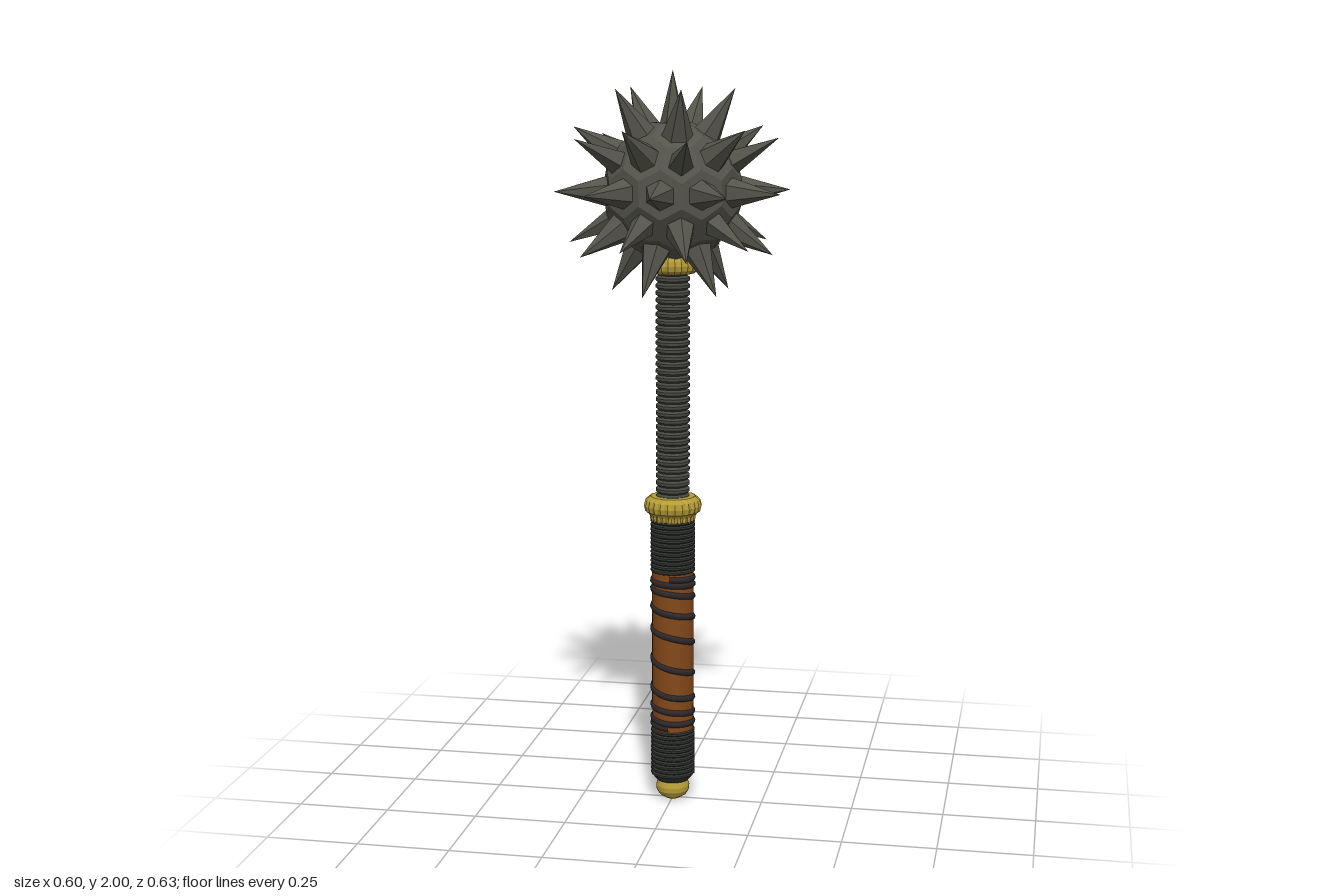
import * as THREE from 'three';
import { mergeGeometries } from 'three/addons/utils/BufferGeometryUtils.js';
import { ConvexGeometry } from 'three/addons/geometries/ConvexGeometry.js';

const material = (name, color) => {
  const m = new THREE.MeshStandardMaterial({ color });
  m.name = name;
  return m;
};

// Turned part from [radius, y] pairs; odd columns can be pulled in to cut flutes
function turned(points, segments, flute = 0) {
  const geo = new THREE.LatheGeometry(points.map(p => new THREE.Vector2(...p)), segments);
  const pos = geo.attributes.position;
  for (let i = 0; i < pos.count; i++) {
    if (Math.floor(i / points.length) % 2) {
      pos.setX(i, pos.getX(i) * (1 - flute));
      pos.setZ(i, pos.getZ(i) * (1 - flute));
    }
  }
  const flat = geo.toNonIndexed();
  flat.computeVertexNormals();
  return flat;
}

// Zigzag profile of stacked ridges between two heights
function ridges(y0, y1, count, inner, outer) {
  const pts = [[inner, y0]];
  const step = (y1 - y0) / count;
  for (let i = 0; i < count; i++) {
    const y = y0 + i * step;
    pts.push([outer, y + step * 0.3], [outer, y + step * 0.7], [inner, y + step]);
  }
  return pts;
}

// Corner directions of the many-sided ball and the centre direction of each cell
function ballDirections() {
  const ico = new THREE.IcosahedronGeometry(1, 1);
  ico.rotateZ(-Math.atan(2 / (1 + Math.sqrt(5))));
  const pos = ico.attributes.position;
  const cells = [], corners = [];
  for (let i = 0; i < pos.count; i += 3) {
    const sum = new THREE.Vector3();
    for (let j = 0; j < 3; j++) {
      const v = new THREE.Vector3().fromBufferAttribute(pos, i + j).normalize();
      sum.add(v);
      if (!cells.some(c => c.distanceTo(v) < 0.01)) cells.push(v);
    }
    corners.push(sum.normalize());
  }
  return { cells, corners };
}

// Pyramid standing on one cell, with as many sides as the cell
function spike(n, corners) {
  const u = new THREE.Vector3(0.31, 0.52, 0.8).cross(n).normalize();
  const v = n.clone().cross(u);
  const ring = corners.filter(c => c.dot(n) > 0.883)
    .map(c => ({ c, a: Math.atan2(c.dot(v), c.dot(u)) }))
    .sort((p, q) => p.a - q.a)
    .map(({ c }) => c.clone().addScaledVector(n, -c.dot(n)).multiplyScalar(0.122).addScaledVector(n, 0.168));
  const tip = n.clone().multiplyScalar(0.315);
  const tris = [];
  ring.forEach((p, i) => tris.push(p, ring[(i + 1) % ring.length], tip));
  const geo = new THREE.BufferGeometry().setFromPoints(tris);
  geo.computeVertexNormals();
  return geo;
}

export function createModel() {
  const model = new THREE.Group();
  model.name = 'spikedMace';
  const iron = material('dark iron', 0x55544b);
  const steel = material('shaft steel', 0x464842);
  const grip = material('grip black', 0x343732);
  const gold = material('brass', 0xb59c38);
  const leather = material('brown leather', 0x83481a);
  const strap = material('dark strap', 0x2e292b);
  const add = (name, geo, mat, parent = model) => {
    const mesh = new THREE.Mesh(geo, mat);
    mesh.name = name;
    parent.add(mesh);
    return mesh;
  };

  // Spiked head
  const head = new THREE.Group();
  head.name = 'head';
  head.position.y = 1.685;
  model.add(head);
  const { cells, corners } = ballDirections();
  add('ball', new ConvexGeometry(corners.map(c => c.clone().multiplyScalar(0.187))), iron, head);
  // The cell facing straight down holds the shaft instead of a spike
  add('spikes', mergeGeometries(cells.filter(c => c.y > -0.99).map(c => spike(c, corners))), iron, head);

  // Ribbed shaft
  add('shaft', turned(ridges(0.85, 1.5, 34, 0.039, 0.046), 24), steel);

  // Knurled grip ends and the leather between them
  add('lowerGrip', turned([[0, 0.05], [0.045, 0.055], ...ridges(0.07, 0.205, 11, 0.057, 0.061), [0, 0.205]], 48, 0.03), grip);
  add('upperGrip', turned([[0, 0.65], ...ridges(0.65, 0.8, 12, 0.057, 0.061), [0, 0.8]], 48, 0.03), grip);
  add('leatherGrip', new THREE.CylinderGeometry(0.057, 0.057, 0.45, 32), leather);
  model.getObjectByName('leatherGrip').position.y = 0.427;

  // Strap wound around the leather, tight at the ends and open in the middle
  const heights = [0.638, 0.622, 0.597, 0.54, 0.475, 0.385, 0.305, 0.262, 0.228, 0.216];
  const path = [];
  for (let i = 0; i <= (heights.length - 1) * 16; i++) {
    const k = Math.min(Math.floor(i / 16), heights.length - 2);
    const y = THREE.MathUtils.lerp(heights[k], heights[k + 1], i / 16 - k);
    const a = (i / 16) * Math.PI * 2;
    path.push(new THREE.Vector3(Math.sin(a) * 0.052, y, Math.cos(a) * 0.052));
  }
  add('strap', new THREE.TubeGeometry(new THREE.CatmullRomCurve3(path), 320, 0.0105, 8), strap);

  // Brass fittings
  add('guard', turned([
    [0.05, 0.792], [0.061, 0.793], [0.063, 0.808], [0.066, 0.813], [0.075, 0.82],
    [0.079, 0.835], [0.075, 0.85], [0.062, 0.861], [0.04, 0.863],
  ], 48, 0.05), gold);
  add('headCollar', turned([
    [0.04, 1.465], [0.058, 1.467], [0.068, 1.477], [0.071, 1.49], [0.068, 1.503], [0.06, 1.515], [0.05, 1.53],
  ], 48, 0.05), gold);
  add('pommel', turned([
    [0.028, 0.006], [0.037, 0.012], [0.045, 0.025], [0.046, 0.038], [0.042, 0.05], [0.036, 0.06], [0, 0.06],
  ], 32), gold);
  add('pommelCap', turned([[0, 0], [0.02, 0.001], [0.031, 0.008], [0.031, 0.012]], 32), leather);

  return model;
}
